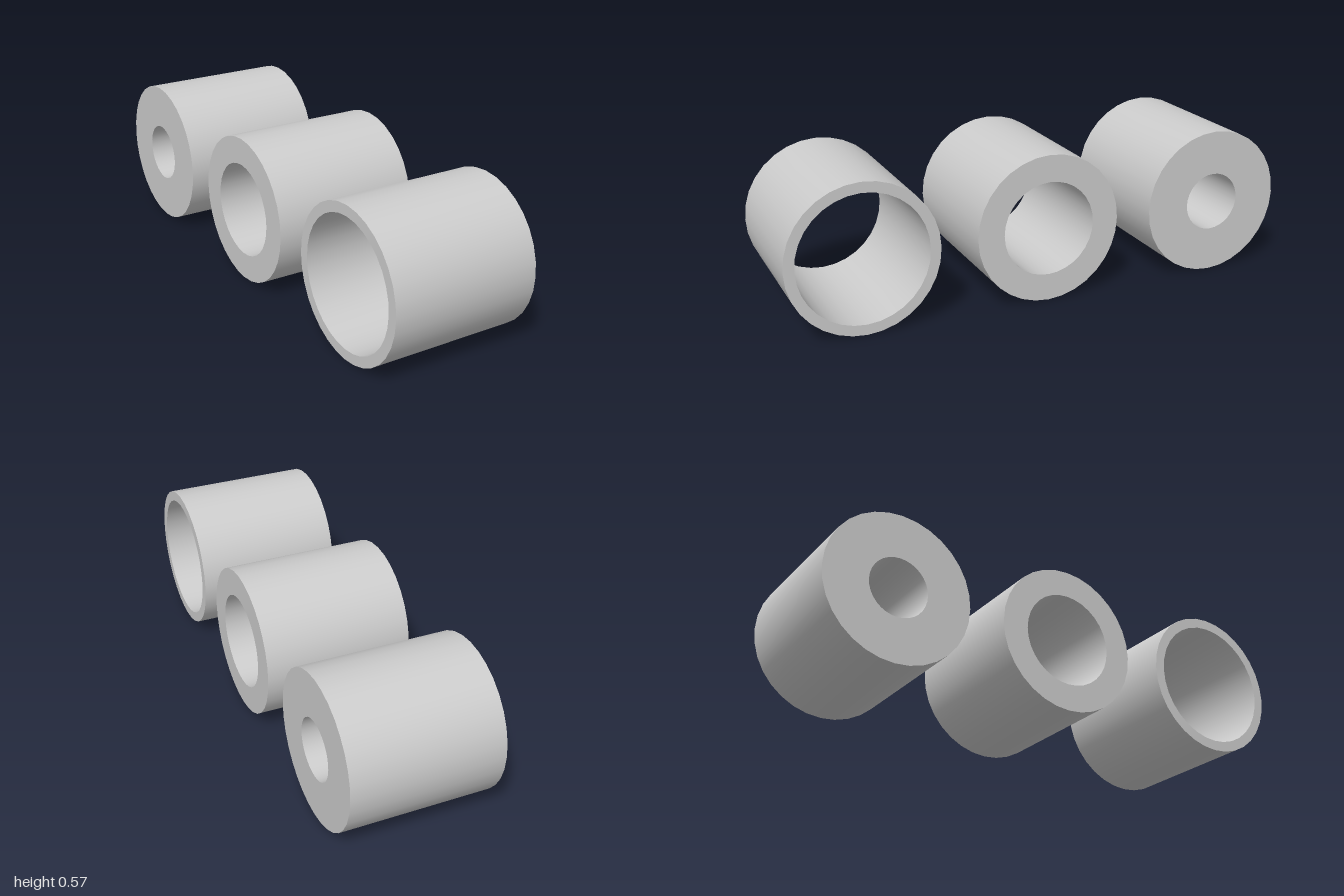
import * as THREE from 'three';
import { toCreasedNormals } from 'three/addons/utils/BufferGeometryUtils.js';

const OUTER = 0.286;   // outer radius, also half the length
const SPACING = 0.714; // distance between tube axes

// Hollow cylinder lying along x
function tubeGeometry(inner) {
  const profile = [
    [OUTER, -OUTER], [OUTER, OUTER], [inner, OUTER], [inner, -OUTER], [OUTER, -OUTER],
  ].map(([r, y]) => new THREE.Vector2(r, y));
  const lathe = new THREE.LatheGeometry(profile, 32).rotateZ(-Math.PI / 2);
  return toCreasedNormals(lathe, 0.6);
}

export function createModel() {
  const group = new THREE.Group();
  group.name = 'tubes';
  const material = new THREE.MeshStandardMaterial({ color: 0xcccccc });

  // Three tubes of equal size, with the bore narrowing from front to back
  const tubes = [
    ['thinWalledTube', 0.246, SPACING],
    ['mediumWalledTube', 0.182, 0],
    ['thickWalledTube', 0.114, -SPACING],
  ];
  for (const [name, inner, z] of tubes) {
    const tube = new THREE.Mesh(tubeGeometry(inner), material);
    tube.name = name;
    tube.position.set(0, OUTER, z);
    group.add(tube);
  }
  return group;
}
